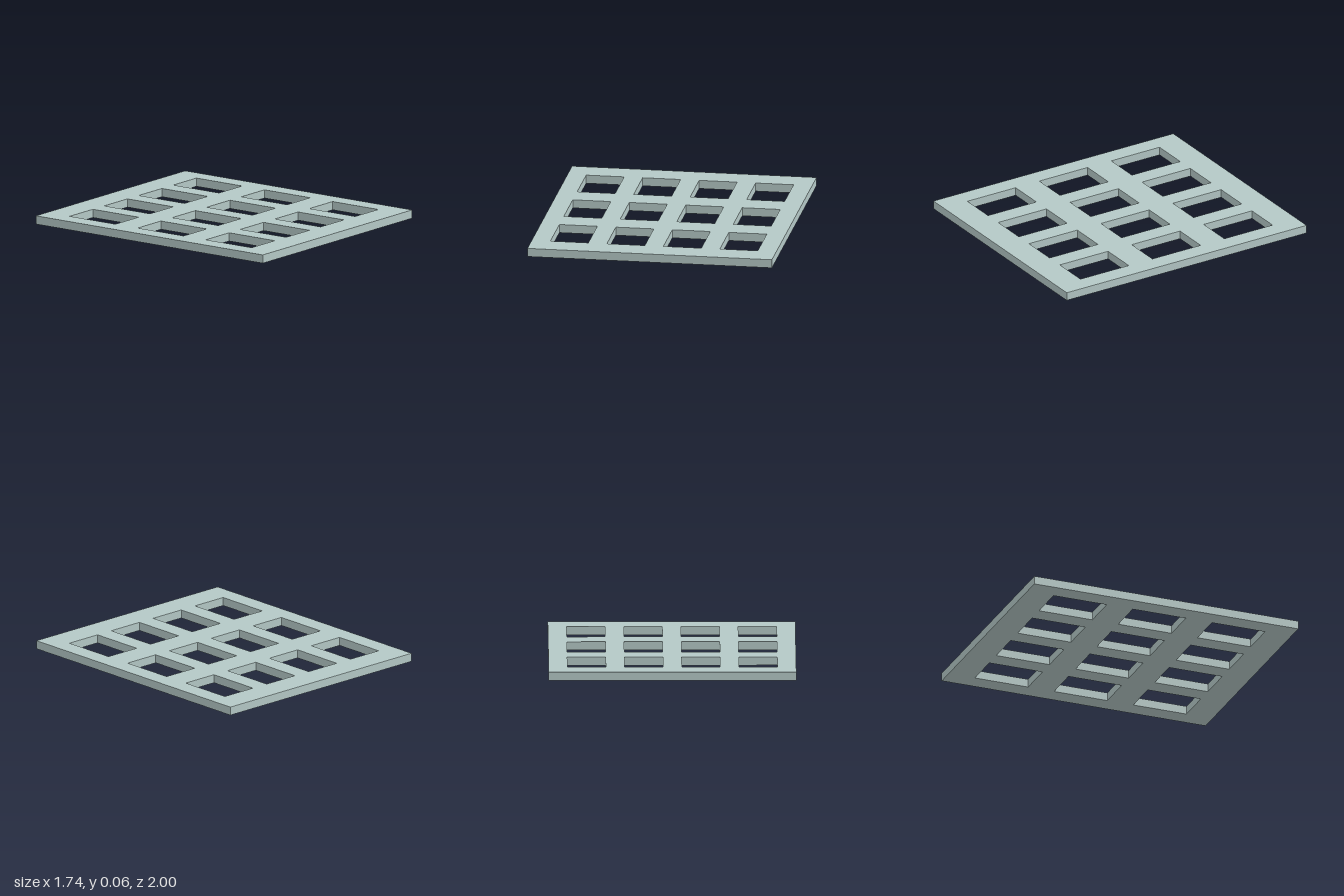
import * as THREE from 'three';

const WIDTH = 1.74, DEPTH = 2, THICKNESS = 0.06;
const HOLE_W = 0.27, HOLE_D = 0.403;
const PITCH_X = 0.402, PITCH_Z = 0.6;
const COLUMNS = 4, ROWS = 3;

// Trace a centred rectangle on a Shape or Path
function rectangle(path, cx, cy, w, h) {
  path.moveTo(cx - w / 2, cy - h / 2);
  path.lineTo(cx + w / 2, cy - h / 2);
  path.lineTo(cx + w / 2, cy + h / 2);
  path.lineTo(cx - w / 2, cy + h / 2);
  path.closePath();
  return path;
}

export function createModel() {
  const group = new THREE.Group();
  group.name = 'latticePanel';

  // Flat plate outline with a regular grid of window openings
  const outline = rectangle(new THREE.Shape(), 0, 0, WIDTH, DEPTH);
  for (let row = 0; row < ROWS; row++) {
    for (let col = 0; col < COLUMNS; col++) {
      const x = (col - (COLUMNS - 1) / 2) * PITCH_X;
      const z = (row - (ROWS - 1) / 2) * PITCH_Z;
      outline.holes.push(rectangle(new THREE.Path(), x, z, HOLE_W, HOLE_D));
    }
  }

  // Extrude upward so the plate lies on the ground
  const geometry = new THREE.ExtrudeGeometry(outline, { depth: THICKNESS, bevelEnabled: false });
  geometry.rotateX(-Math.PI / 2);

  const panel = new THREE.Mesh(geometry, new THREE.MeshStandardMaterial({ color: 0xb4c8c6 }));
  panel.name = 'panel';
  group.add(panel);
  return group;
}
